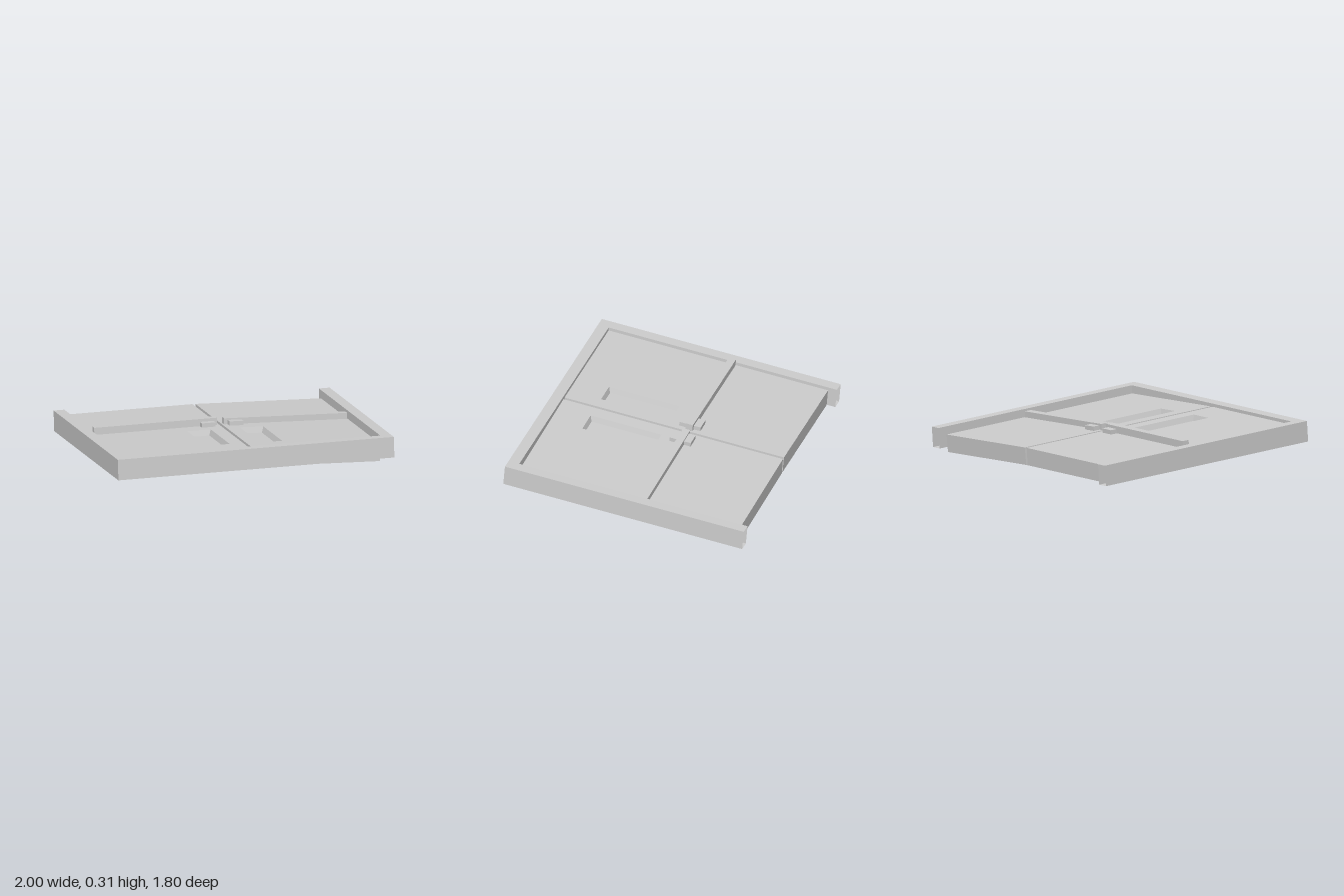
import * as THREE from 'three';

const material = new THREE.MeshStandardMaterial({ color: 0xcccccc, flatShading: true });
const openMaterial = material.clone();
openMaterial.side = THREE.DoubleSide;
const trayMaterial = material.clone();
trayMaterial.side = THREE.BackSide;

function add(parent, name, geometry, mat = material) {
  const mesh = new THREE.Mesh(geometry, mat);
  mesh.name = name;
  parent.add(mesh);
  return mesh;
}

// Box given by its lower and upper limits on each axis
function block(parent, name, [x0, x1], [y0, y1], [z0, z1], mat) {
  const geometry = new THREE.BoxGeometry(x1 - x0, y1 - y0, z1 - z0);
  geometry.translate((x0 + x1) / 2, (y0 + y1) / 2, (z0 + z1) / 2);
  return add(parent, name, geometry, mat);
}

const FRAME_H = 0.145, HALF_W = 0.983, HALF_L = 0.878, INNER_W = 0.907, LINTEL_Z = 0.8;
const DOOR_TOP = -0.022, TRAY_DEPTH = 0.04;
const HANDLE = { x: 0.188, z: 0.304, hw: 0.083, hl: 0.26 };

// Panel with a sunken grip; side is -1 or 1
function makeDoor(side) {
  const door = new THREE.Group();
  door.name = side < 0 ? 'rightDoor' : 'leftDoor';
  const span = (a, b) => (side < 0 ? [-b, -a] : [a, b]);
  const [x0, x1] = span(0.011, 0.905);
  const z0 = -0.815, z1 = LINTEL_Z - 0.002;
  const cx = side * HANDLE.x;

  // upper layer, pierced for the grip
  const shape = new THREE.Shape([[x0, -z1], [x1, -z1], [x1, -z0], [x0, -z0]].map(p => new THREE.Vector2(...p)));
  const { hw, hl, z } = HANDLE;
  shape.holes.push(new THREE.Path(
    [[-hw, -hl], [-hw, hl], [hw, hl], [hw, -hl]].map(([u, v]) => new THREE.Vector2(cx + u, v - z))));
  const face = new THREE.ExtrudeGeometry(shape, { depth: TRAY_DEPTH + 0.002, bevelEnabled: false });
  face.rotateX(-Math.PI / 2);
  face.translate(0, DOOR_TOP - TRAY_DEPTH - 0.002, 0);
  add(door, 'doorFace', face);

  // lower layer
  block(door, 'doorCore', [x0, x1], [-FRAME_H, DOOR_TOP - TRAY_DEPTH - 0.002], [z0, z1]);

  // sloped grip recess: open-topped box, narrowed at its floor
  const tray = new THREE.BoxGeometry(hw * 2, TRAY_DEPTH, hl * 2);
  const index = Array.from(tray.index.array);
  index.splice(12, 6);
  tray.setIndex(index);
  const pos = tray.attributes.position;
  for (let i = 0; i < pos.count; i++) {
    if (pos.getY(i) < 0) {
      pos.setX(i, pos.getX(i) - Math.sign(pos.getX(i)) * 0.014);
      pos.setZ(i, pos.getZ(i) - Math.sign(pos.getZ(i)) * 0.014);
    }
  }
  tray.translate(cx, DOOR_TOP - TRAY_DEPTH / 2, z);
  add(door, 'gripRecess', tray, trayMaterial);

  // cross bar with a bracket on either side of it
  const barTop = side < 0 ? 0.028 : 0.02;
  block(door, 'crossBar', span(0.025, 0.9), [DOOR_TOP, barTop], [-0.136, -0.084]);
  block(door, 'rearBracket', span(0.05, 0.148), [DOOR_TOP, 0.008], [-0.186, -0.136]);
  block(door, 'frontBracket', span(0.05, 0.148), [DOOR_TOP, 0.008], [-0.084, -0.03]);
  return door;
}

export function createModel() {
  const model = new THREE.Group();
  model.name = 'doubleDoor';
  const body = new THREE.Group();
  body.name = 'tiltedAssembly';
  model.add(body);

  // Frame: lintel and two hollow jambs, open at the rear end
  const frame = new THREE.Group();
  frame.name = 'doorFrame';
  body.add(frame);
  block(frame, 'lintel', [-HALF_W, HALF_W], [-FRAME_H, 0], [LINTEL_Z, HALF_L]);
  for (const side of [-1, 1]) {
    const xs = side < 0 ? [-HALF_W, -INNER_W] : [INNER_W, HALF_W];
    const jamb = block(frame, side < 0 ? 'rightJamb' : 'leftJamb', xs, [-FRAME_H, 0], [-HALF_L, LINTEL_Z], openMaterial);
    jamb.geometry.setIndex(Array.from(jamb.geometry.index.array).slice(0, 30));
  }

  // Doors; the left one sags out of the frame
  body.add(makeDoor(-1));
  const sagging = makeDoor(1);
  sagging.rotation.z = -0.038;
  body.add(sagging);

  // Whole assembly lies tilted
  const ex = new THREE.Vector3(0.9998, 0.0098, -0.0175).normalize();
  const ez = new THREE.Vector3(0.0167, 0.08, 0.997).normalize();
  const ey = new THREE.Vector3().crossVectors(ez, ex).normalize();
  ez.crossVectors(ex, ey);
  body.quaternion.setFromRotationMatrix(new THREE.Matrix4().makeBasis(ex, ey, ez));

  // Stand on the ground, centred
  model.updateMatrixWorld(true);
  const box = new THREE.Box3().setFromObject(model, true);
  const centre = box.getCenter(new THREE.Vector3());
  body.position.set(-centre.x, -box.min.y, -centre.z);
  return model;
}
